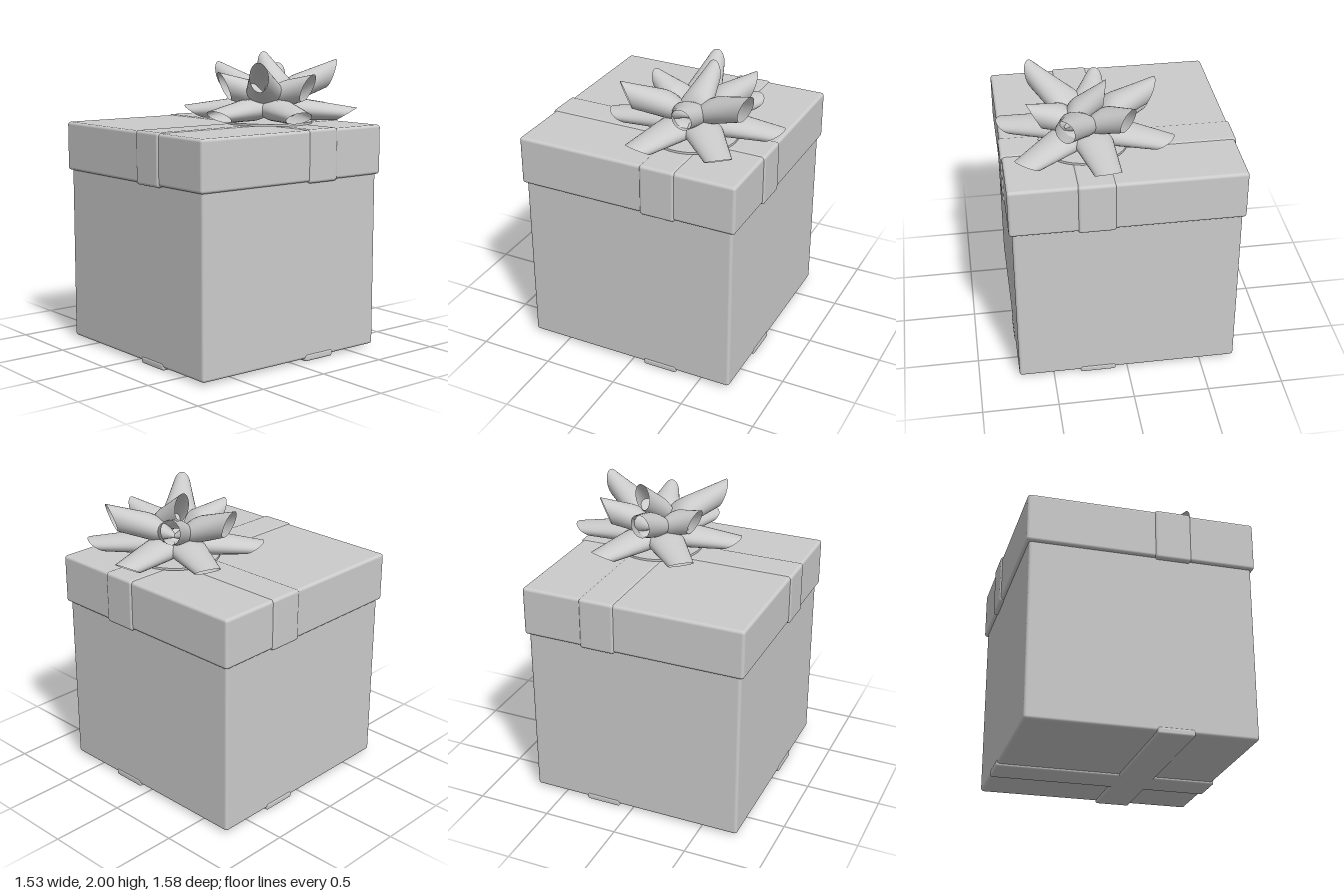
import * as THREE from 'three';
import { RoundedBoxGeometry } from 'three/addons/geometries/RoundedBoxGeometry.js';

const material = new THREE.MeshStandardMaterial({ color: 0xcccccc });
const ribbonMaterial = new THREE.MeshStandardMaterial({ color: 0xcccccc, side: THREE.DoubleSide });

const BOX_Z = 0.02;           // box centre along z
const BOW_X = 0.2, BOW_Z = -0.21; // ribbon crossing and bow centre

function part(name, geometry, x, y, z, mat = material) {
  const mesh = new THREE.Mesh(geometry, mat);
  mesh.name = name;
  mesh.position.set(x, y, z);
  return mesh;
}

// rounded slab between two heights
function slab(name, w, y0, y1, d, r, x, z) {
  return part(name, new RoundedBoxGeometry(w, y1 - y0, d, 4, r), x, (y0 + y1) / 2, z);
}

// Hollow ribbon loop along +x: pinched at the root, tapering to an oblique open end
function loopGeometry(length, cut, rootW, tipW, midH, tipH) {
  const rings = 12, sides = 28, pos = [], index = [];
  for (let i = 0; i <= rings; i++) {
    const s = i / rings;
    const w = THREE.MathUtils.lerp(rootW, tipW, s);
    const pinch = 0.3 + 0.7 * Math.sin(Math.min(1, s / 0.35) * Math.PI / 2);
    const h = THREE.MathUtils.lerp(midH, tipH, s) * pinch;
    for (let j = 0; j < sides; j++) {
      const a = j / sides * Math.PI * 2;
      pos.push(s * (length - cut * (1 - Math.sin(a)) / 2), h * Math.sin(a), w * Math.cos(a));
      if (i < rings) {
        const k = i * sides + j, n = i * sides + (j + 1) % sides;
        index.push(k, k + sides, n, n, k + sides, n + sides);
      }
    }
  }
  const g = new THREE.BufferGeometry();
  g.setAttribute('position', new THREE.Float32BufferAttribute(pos, 3));
  g.setIndex(index);
  g.computeVertexNormals();
  return g;
}

// Loop from a root point whose upper tip lands above (tipX, tipZ)
function bowLoop(name, root, tipX, tipZ, pitch, shape) {
  const dx = tipX - root[0], dz = tipZ - root[2];
  const reach = Math.hypot(dx, dz);
  const length = (reach + shape.tipH * Math.sin(pitch)) / Math.cos(pitch);
  const mesh = part(name,
    loopGeometry(length, shape.cut, shape.rootW, shape.tipW, shape.midH, shape.tipH),
    ...root, ribbonMaterial);
  mesh.rotation.set(0, Math.atan2(-dz, dx), pitch, 'YXZ');
  return mesh;
}

// Root point a little way out from the bow centre towards the tip
function rootTowards(tipX, tipZ, r, y) {
  const a = Math.atan2(tipZ - BOW_Z, tipX - BOW_X);
  return [BOW_X + r * Math.cos(a), y, BOW_Z + r * Math.sin(a)];
}

export function createModel() {
  const model = new THREE.Group();
  model.name = 'giftBox';

  // box and lid
  model.add(slab('boxBody', 1.465, 0.02, 1.3, 1.465, 0.02, 0, BOX_Z));
  model.add(slab('lid', 1.505, 1.19, 1.52, 1.51, 0.02, 0, BOX_Z));

  // ribbons crossing over the lid and under the box
  model.add(slab('lidRibbonLengthwise', 0.24, 1.18, 1.526, 1.53, 0.02, BOW_X, BOX_Z));
  model.add(slab('lidRibbonCrosswise', 1.525, 1.18, 1.526, 0.24, 0.02, 0, BOW_Z));
  model.add(slab('baseRibbonLengthwise', 0.24, 0.003, 0.05, 1.475, 0.015, BOW_X, BOX_Z));
  model.add(slab('baseRibbonCrosswise', 1.475, 0.003, 0.05, 0.24, 0.015, 0, BOW_Z));

  // bow
  const bow = new THREE.Group();
  bow.name = 'bow';
  bow.add(part('bowBase', new THREE.CylinderGeometry(0.29, 0.29, 0.015, 48), BOW_X + 0.02, 1.533, BOW_Z));

  const lowShape = { cut: 0.13, rootW: 0.14, tipW: 0.085, midH: 0.085, tipH: 0.047 };
  const lowTips = [[-0.33, -0.43], [0.12, -0.79], [0.66, -0.6], [0.76, -0.03], [0.31, 0.35], [-0.23, 0.16]];
  for (const [x, z] of lowTips) {
    bow.add(bowLoop('lowerLoop', rootTowards(x, z, 0.06, 1.63), x, z, -0.08, lowShape));
  }

  const midShape = { cut: 0.13, rootW: 0.14, tipW: 0.06, midH: 0.088, tipH: 0.078 };
  const midTips = [[-0.05, -0.52, 0.35], [0.39, -0.66, 0.35], [0.58, -0.28, 0.22],
    [0.53, 0.15, 0.35], [0.1, 0.13, 0.27], [-0.25, -0.15, 0.33]];
  for (const [x, z, pitch] of midTips) {
    bow.add(bowLoop('middleLoop', rootTowards(x, z, 0.07, 1.71), x, z, pitch, midShape));
  }

  const topShape = { cut: 0.13, rootW: 0.125, tipW: 0.055, midH: 0.08, tipH: 0.07 };
  bow.add(bowLoop('topLoop', [0.33, 1.72, -0.24], 0.08, -0.28, 0.645, topShape));
  model.add(bow);
  return model;
}
